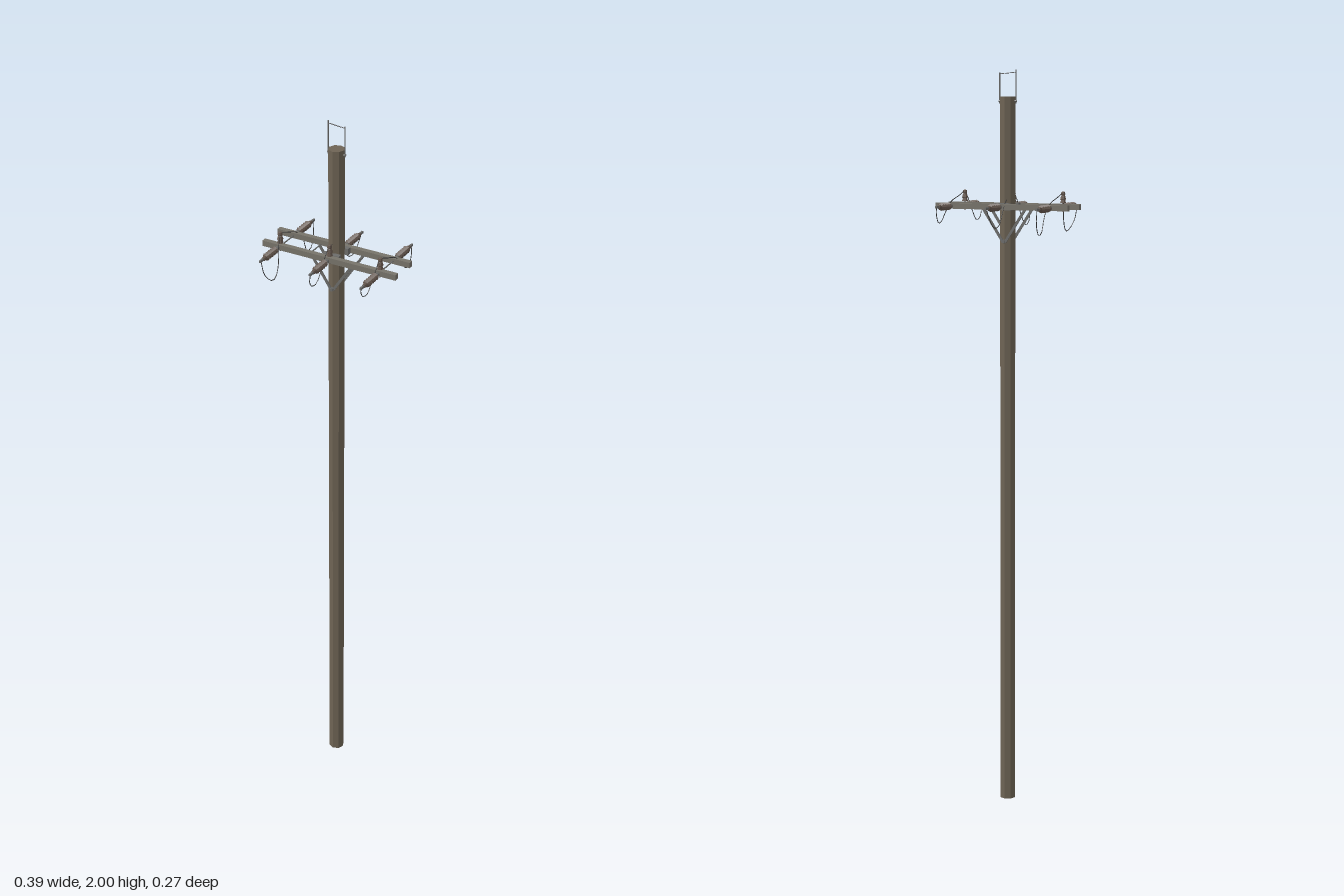
import * as THREE from 'three';

const mat = (color) => new THREE.MeshStandardMaterial({ color, flatShading: true, side: THREE.DoubleSide });
const WOOD = mat(0x6e6455), ARM = mat(0x77736a), STEEL = mat(0x6c6c6a), CERAMIC = mat(0x64564d), WIRE = mat(0x3a3a3a);
const V = (x, y, z) => new THREE.Vector3(x, y, z);

function add(parent, name, geometry, material, x = 0, y = 0, z = 0) {
  const mesh = new THREE.Mesh(geometry, material);
  mesh.name = name;
  mesh.position.set(x, y, z);
  parent.add(mesh);
  return mesh;
}

// Straight rod between two points
function rod(parent, name, a, b, r, material = STEEL, sides = 6) {
  const mesh = add(parent, name, new THREE.CylinderGeometry(r, r, a.distanceTo(b), sides), material);
  mesh.position.copy(a).add(b).multiplyScalar(0.5);
  mesh.quaternion.setFromUnitVectors(V(0, 1, 0), b.clone().sub(a).normalize());
}

// Flat strap between two points lying in a plane of constant z
function strap(parent, name, a, b, width, depth) {
  const mesh = add(parent, name, new THREE.BoxGeometry(width, a.distanceTo(b), depth), STEEL);
  mesh.position.copy(a).add(b).multiplyScalar(0.5);
  mesh.rotation.z = Math.atan2(a.x - b.x, b.y - a.y);
}

function wire(parent, name, points) {
  add(parent, name, new THREE.TubeGeometry(new THREE.CatmullRomCurve3(points), 32, 0.0011, 5), WIRE);
}

const profile = (pairs) => new THREE.LatheGeometry(pairs.map(([r, y]) => new THREE.Vector2(r, y)), 8);

// Ribbed string insulator, lying along z and pointing away from the pole
function stringInsulator(parent, x, y, side) {
  const g = new THREE.Group();
  g.name = 'stringInsulator';
  const ribs = [[0, 0.054], [0.004, 0.056]];
  for (let i = 0; i < 5; i++) {
    const h = 0.058 + i * 0.0105;
    ribs.push([0.0045, h], [0.0105, h + 0.005], [0.0045, h + 0.0085]);
  }
  ribs.push([0.006, 0.113], [0.005, 0.121], [0, 0.122]);
  add(g, 'ribbedBody', profile(ribs), CERAMIC);
  add(g, 'innerFitting', profile([[0, 0.04], [0.003, 0.04], [0.003, 0.047], [0.006, 0.049], [0.006, 0.055], [0, 0.056]]), STEEL);
  add(g, 'outerClamp', new THREE.BoxGeometry(0.005, 0.02, 0.006), STEEL, 0, 0.127, 0);
  g.position.set(x, y, 0);
  g.rotation.x = side * Math.PI / 2;
  parent.add(g);
}

export function createModel() {
  const model = new THREE.Group();
  model.name = 'utilityPole';
  const armY = 1.642, armZ = 0.038;

  // Pole
  add(model, 'pole', new THREE.CylinderGeometry(0.0215, 0.0215, 1.93, 8), WOOD, 0, 0.965, 0);

  // Wire frame at the pole top
  for (const side of [-1, 1]) {
    rod(model, 'topPost', V(side * 0.0235, 1.912, 0), V(side * 0.0235, side < 0 ? 2 : 1.993, 0), 0.0015);
    rod(model, 'topPostBolt', V(side * 0.018, 1.918, 0), V(side * 0.026, 1.918, 0), 0.003);
  }
  rod(model, 'topWire', V(-0.0235, 1.993, 0), V(0.0235, 1.989, 0), 0.0011, WIRE);

  // Front and back crossarms with their mounting plates and braces
  for (const side of [-1, 1]) {
    add(model, 'crossarm', new THREE.BoxGeometry(0.386, 0.015, 0.014), ARM, 0, armY, side * armZ);
    add(model, 'mountingPlate', new THREE.BoxGeometry(0.046, 0.018, 0.013), STEEL, 0, armY, side * 0.0245);
    const z = side * 0.0235;
    for (const s of [-1, 1]) strap(model, 'brace', V(s * 0.003, 1.548, z), V(s * 0.063, 1.638, z), 0.007, 0.003);
    rod(model, 'braceBolt', V(0, 1.55, side * 0.018), V(0, 1.55, side * 0.029), 0.005);
  }
  for (const s of [-1, 1]) rod(model, 'spacerRod', V(s * 0.064, 1.637, -0.034), V(s * 0.064, 1.637, 0.034), 0.0018);
  rod(model, 'throughBolt', V(0, armY, -0.048), V(0, armY, 0.048), 0.0025);

  // Three conductor positions
  [-0.145, 0, 0.145].forEach((x, i) => {
    rod(model, 'stringBolt', V(x, armY, -0.05), V(x, armY, 0.05), 0.0018);
    for (const side of [-1, 1]) stringInsulator(model, x, armY, side);

    // Upright pin insulator on the front arm
    add(model, 'pinInsulator', profile([[0, -0.014], [0.002, -0.014], [0.002, 0.009], [0.0085, 0.01], [0.006, 0.018],
      [0.0085, 0.02], [0.006, 0.028], [0.0045, 0.03], [0.0065, 0.033], [0.005, 0.039], [0, 0.041]]), CERAMIC, x, armY, 0.036);

    // Slack jumper wire looping under both strings and over the pin
    const bow = [0.013, -0.012, -0.01][i], back = [0.01, -0.012, 0.011][i], low = [1.575, 1.59, 1.6][i];
    wire(model, 'jumperWire', [
      V(x, armY, 0.131), V(x + bow * 0.5, low + 0.028, 0.127), V(x + bow, low + 0.003, 0.105), V(x + bow, low, 0.085),
      V(x + bow * 0.8, low + 0.025, 0.065), V(x + bow * 0.3, 1.66, 0.049), V(x, 1.678, 0.036),
      V(x + back * 0.2, 1.668, 0.005), V(x + back * 0.7, 1.652, -0.035), V(x + back, 1.625, -0.06),
      V(x + back, low + 0.003, -0.082), V(x + back * 0.8, low, -0.105), V(x + back * 0.4, low + 0.028, -0.126), V(x, armY, -0.131),
    ]);
  });
  return model;
}
